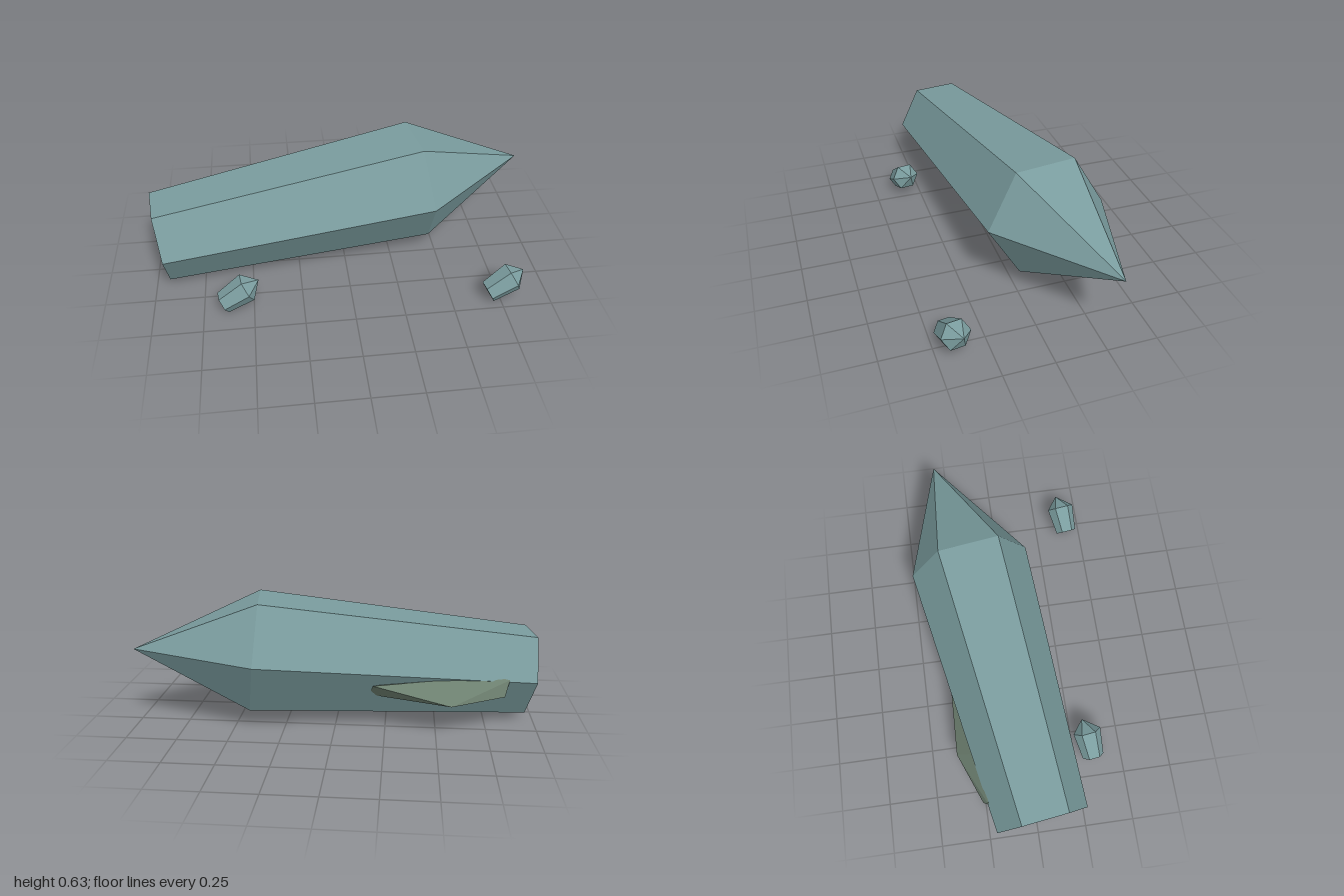
import * as THREE from 'three';
import { ConvexGeometry } from 'three/addons/geometries/ConvexGeometry.js';

const V = (x, y, z) => new THREE.Vector3(x, y, z);

// Six corners around a centre, spanned by two radius vectors
function hexRing(centre, u, v, scale = 1) {
  return Array.from({ length: 6 }, (_, i) => {
    const a = (i * Math.PI) / 3;
    return centre.clone()
      .addScaledVector(u, Math.cos(a) * scale)
      .addScaledVector(v, Math.sin(a) * scale);
  });
}

// Tapered hexagonal shaft with a faceted point
function crystalGeometry({ base, shoulder, tip, u, v, taper }) {
  return new ConvexGeometry([...hexRing(base, u, v, taper), ...hexRing(shoulder, u, v), tip]);
}

export function createModel() {
  const group = new THREE.Group();
  const crystalTeal = new THREE.MeshStandardMaterial({ name: 'crystalTeal', color: 0x7a9c9e, flatShading: true });
  const stoneGreen = new THREE.MeshStandardMaterial({ name: 'stoneGreen', color: 0x6f8272, flatShading: true });

  const add = (name, geometry, material) => {
    const mesh = new THREE.Mesh(geometry, material);
    mesh.name = name;
    group.add(mesh);
    return mesh;
  };

  // Large fallen crystal
  add('mainCrystal', crystalGeometry({
    base: V(-0.965, 0.2375, 0.02),
    shoulder: V(0.415, 0.365, -0.17),
    tip: V(1, 0.39, -0.3),
    u: V(0.042, 0, 0.31),
    v: V(-0.032, 0.312, 0.005),
    taper: 0.742,
  }), crystalTeal);

  // Two matching small shards
  const shard = crystalGeometry({
    base: V(0.687, 0.043, 0.4225),
    shoulder: V(0.81, 0.115, 0.403),
    tip: V(0.87, 0.14, 0.383),
    u: V(0.01, 0, 0.073),
    v: V(-0.033, 0.0635, 0),
    taper: 0.77,
  });
  add('leftShard', shard, crystalTeal);
  add('rightShard', shard, crystalTeal).position.set(-1.34, 0, -0.075);

  // Green stone lodged in the back of the large crystal
  add('embeddedStone', new ConvexGeometry([
    V(-0.57, 0.16, -0.365),
    V(-0.834, 0.18, -0.26),
    V(-0.856, 0.26, -0.235),
    V(-0.19, 0.25, -0.35),
    V(-0.17, 0.18, -0.28),
    V(-0.475, 0.145, -0.23),
    V(-0.83, 0.165, -0.195),
    V(-0.77, 0.28, -0.235),
    V(-0.6, 0.275, -0.28),
    V(-0.5, 0.24, -0.15),
  ]), stoneGreen);

  return group;
}
